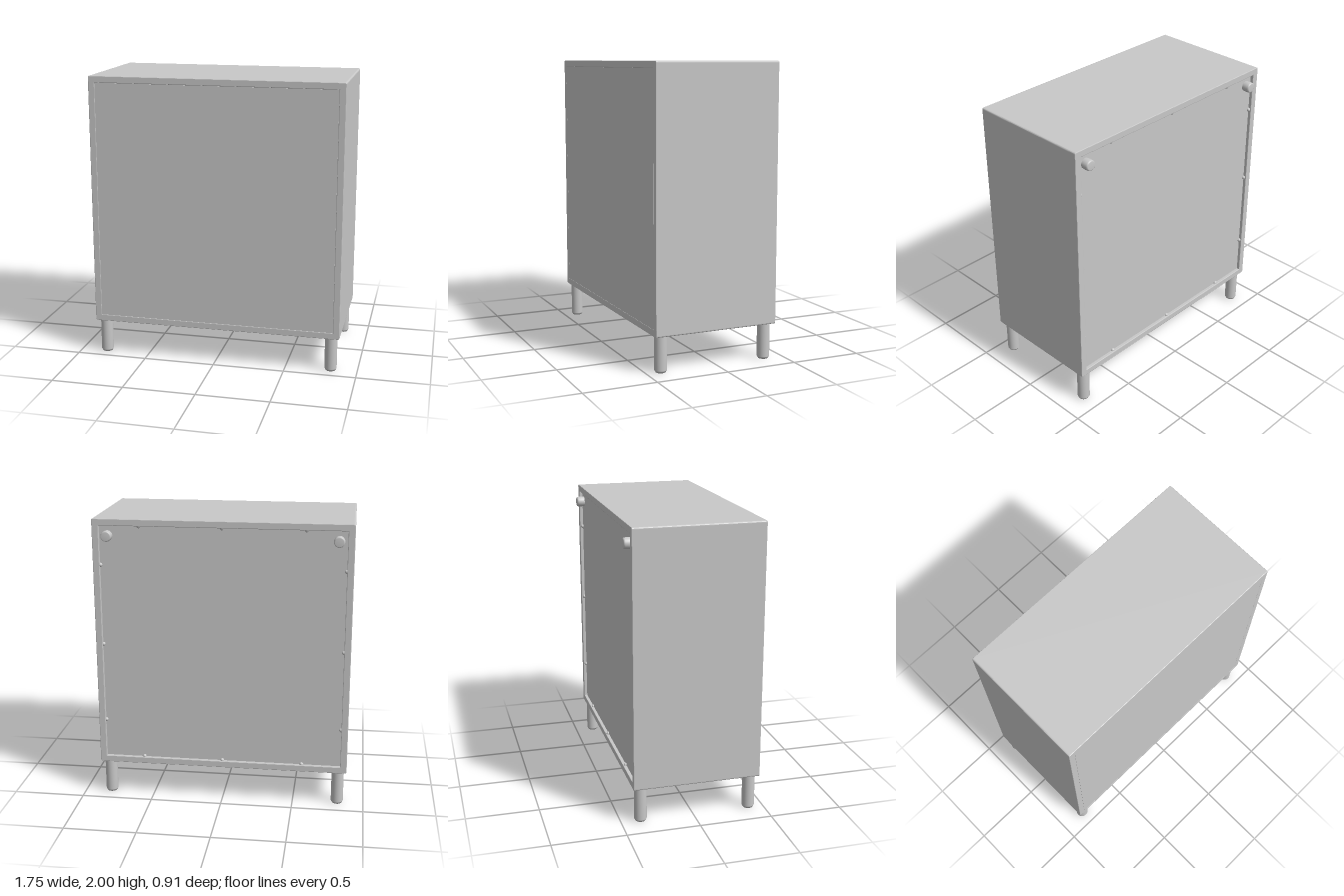
import * as THREE from 'three';

const W = 1.754, BOTTOM = 0.245, TOP = 2, FRONT = 0.455, BACK = -0.423, WALL = 0.042;

function roundedRect(target, x0, y0, x1, y1, r) {
  target.moveTo(x0 + r, y0);
  target.lineTo(x1 - r, y0);
  target.quadraticCurveTo(x1, y0, x1, y0 + r);
  target.lineTo(x1, y1 - r);
  target.quadraticCurveTo(x1, y1, x1 - r, y1);
  target.lineTo(x0 + r, y1);
  target.quadraticCurveTo(x0, y1, x0, y1 - r);
  target.lineTo(x0, y0 + r);
  target.quadraticCurveTo(x0, y0, x0 + r, y0);
  return target;
}

export function createModel() {
  const model = new THREE.Group();
  const grey = new THREE.MeshStandardMaterial({ color: 0xc8c8c8 });
  grey.name = 'light grey';

  const add = (name, geometry, x = 0, y = 0, z = 0, parent = model) => {
    const mesh = new THREE.Mesh(geometry, grey);
    mesh.name = name;
    mesh.position.set(x, y, z);
    parent.add(mesh);
    return mesh;
  };

  // Carcass: four boards as one hollow frame, slightly bevelled edges
  const b = 0.004;
  const h = W / 2;
  const outline = roundedRect(new THREE.Shape(), -h + b, BOTTOM + b, h - b, TOP - b, 0.008);
  outline.holes.push(roundedRect(new THREE.Path(),
    -h + WALL, BOTTOM + WALL, h - WALL, TOP - WALL, 0.002));
  add('carcass', new THREE.ExtrudeGeometry(outline, {
    depth: FRONT - BACK - 2 * b, bevelEnabled: true, bevelThickness: b, bevelSize: b,
    bevelSegments: 2, curveSegments: 4,
  }), 0, 0, BACK + b);

  // Front door, flush between the boards, and recessed back panel
  const innerW = W - 2 * WALL, innerH = TOP - BOTTOM - 2 * WALL, midY = (TOP + BOTTOM) / 2;
  add('door', new THREE.BoxGeometry(innerW - 0.008, innerH - 0.008, 0.04), 0, midY, FRONT - 0.021);
  add('backPanel', new THREE.BoxGeometry(innerW, innerH, 0.02), 0, midY, BACK + 0.033);

  // Small pins holding the back panel along all four edges
  const pins = new THREE.Group();
  pins.name = 'backPins';
  model.add(pins);
  const pinGeo = new THREE.SphereGeometry(0.014, 12, 8);
  const pinZ = BACK + 0.02;
  for (const s of [-1, 1]) {
    for (const t of [-0.56, 0, 0.56]) {
      add('sidePin', pinGeo, s * (innerW / 2 - 0.006), midY + t, pinZ, pins);
      add('edgePin', pinGeo, t, midY + s * (innerH / 2 - 0.006), pinZ, pins);
    }
  }

  // Wall bumpers in the upper back corners
  const bumperGeo = new THREE.LatheGeometry([
    [0.034, -0.01], [0.037, 0.02], [0.036, 0.044], [0.034, 0.052], [0.028, 0.055], [0, 0.055],
  ].map(([r, y]) => new THREE.Vector2(r, y)), 28);
  bumperGeo.rotateX(-Math.PI / 2);
  for (const s of [-1, 1]) add('wallBumper', bumperGeo, s * 0.775, 1.885, -0.4);

  // Legs with corner plates and screws
  const legGeo = new THREE.LatheGeometry([
    [0, 0], [0.034, 0], [0.034, 0.008], [0.039, 0.008], [0.043, 0.016], [0.043, 0.25],
  ].map(([r, y]) => new THREE.Vector2(r, y)), 32);
  const screwGeo = new THREE.SphereGeometry(0.015, 12, 8);
  for (const sx of [-1, 1]) {
    for (const sz of [-1, 1]) {
      const leg = new THREE.Group();
      leg.name = 'leg';
      leg.position.set(sx * 0.815, 0, sz > 0 ? 0.397 : -0.365);
      model.add(leg);
      add('post', legGeo, 0, 0, 0, leg);

      const corners = [[0.035, 0.035], [-0.17, 0.035], [-0.17, 0.01], [0.01, -0.17], [0.035, -0.17]];
      const plate = new THREE.Shape(corners.map(([x, z]) => new THREE.Vector2(sx * x, sz * z)));
      const plateGeo = new THREE.ExtrudeGeometry(plate, { depth: 0.006, bevelEnabled: false });
      plateGeo.rotateX(Math.PI / 2);
      add('cornerPlate', plateGeo, 0, BOTTOM + 0.002, 0, leg);
      add('screw', screwGeo, -sx * 0.135, BOTTOM + 0.004, 0, leg);
      add('screw', screwGeo, 0, BOTTOM + 0.004, -sz * 0.138, leg);
    }
  }
  return model;
}
